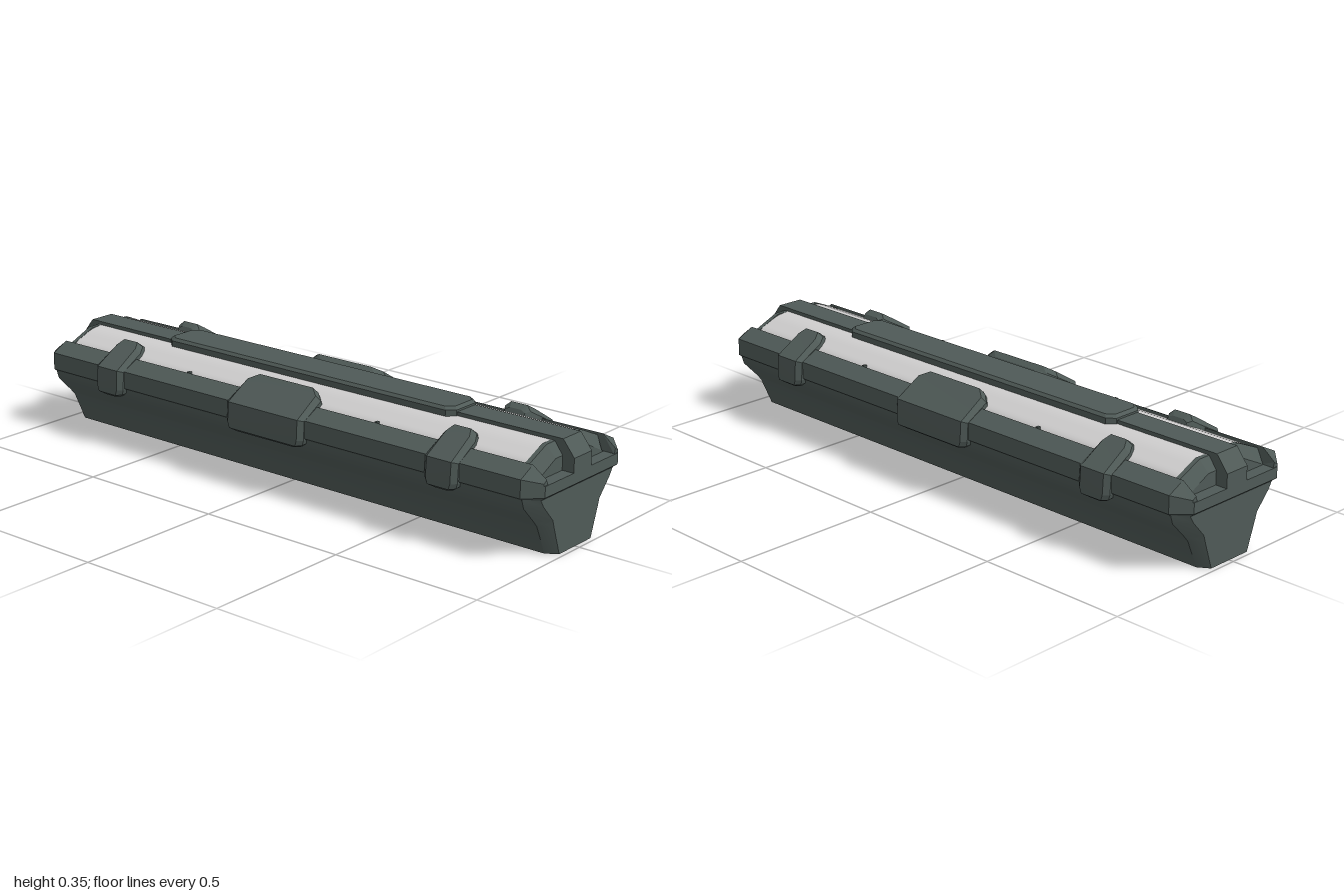
import * as THREE from 'three';
import { toCreasedNormals } from 'three/addons/utils/BufferGeometryUtils.js';

const housingGrey = new THREE.MeshStandardMaterial({ color: 0x4f5a57, side: THREE.DoubleSide });
housingGrey.name = 'housing grey';
const diffuserWhite = new THREE.MeshStandardMaterial({ color: 0xd0cfcf, side: THREE.DoubleSide });
diffuserWhite.name = 'diffuser white';

// Skins a list of closed cross-sections; 'caps' fills both ends, 'loop' joins last to first
function loft(rings, { caps = true, loop = false, crease = 0.2 } = {}) {
  const n = rings[0].length, m = rings.length, index = [];
  for (let i = 0; i < (loop ? m : m - 1); i++) {
    for (let j = 0; j < n; j++) {
      const a = i * n + j, b = i * n + (j + 1) % n;
      const k = ((i + 1) % m) * n, c = k + j, d = k + (j + 1) % n;
      index.push(a, b, d, a, d, c);
    }
  }
  if (caps && !loop) {
    const e = (m - 1) * n;
    for (let j = 1; j < n - 1; j++) index.push(0, j + 1, j, e, e + j, e + j + 1);
  }
  const g = new THREE.BufferGeometry();
  g.setAttribute('position', new THREE.Float32BufferAttribute(rings.flat(2), 3));
  g.setIndex(index);
  return toCreasedNormals(g, crease);
}

// Horizontal rectangle with cut corners
function octagon(y, hx, hz, cx, cz) {
  return [
    [hx, y, hz - cz], [hx - cx, y, hz], [cx - hx, y, hz], [-hx, y, hz - cz],
    [-hx, y, cz - hz], [cx - hx, y, -hz], [hx - cx, y, -hz], [hx, y, cz - hz],
  ];
}

export function createModel() {
  const model = new THREE.Group();
  const add = (name, geometry, material = housingGrey) => {
    const mesh = new THREE.Mesh(geometry, material);
    mesh.name = name;
    model.add(mesh);
    return mesh;
  };

  // Hollow tray, open at the bottom
  add('tray', loft([
    octagon(0, 0.105, 0.985, 0.024, 0.035),
    octagon(0.095, 0.148, 0.985, 0.034, 0.035),
    octagon(0.115, 0.165, 0.985, 0.045, 0.035),
    octagon(0.17, 0.218, 0.985, 0.048, 0.035),
    octagon(0.2, 0.228, 0.985, 0.04, 0.035),
  ], { caps: false, crease: 0.5 }));

  // Rim band around the tray
  add('rim', loft([
    octagon(0.193, 0.222, 0.985, 0.04, 0.04),
    octagon(0.205, 0.237, 1, 0.05, 0.05),
    octagon(0.24, 0.237, 1, 0.05, 0.05),
    octagon(0.24, 0.175, 0.92, 0.01, 0.01),
    octagon(0.2, 0.21, 0.96, 0.03, 0.03),
  ], { loop: true }));

  // Curved translucent cover
  const arc = new THREE.CatmullRomCurve3([
    [-0.178, 0.26], [-0.166, 0.285], [-0.13, 0.303], [-0.085, 0.319], [0, 0.324],
    [0.085, 0.319], [0.13, 0.303], [0.166, 0.285], [0.178, 0.26],
  ].map(([x, y]) => new THREE.Vector3(x, y, 0))).getPoints(32);
  const cover = (z) => arc.map((p) => [p.x, p.y, z]);
  add('diffuser', loft([cover(-0.925), cover(0.925)], { caps: false, crease: 0.6 }), diffuserWhite);

  // Central spine that folds down over both ends
  const spine = new THREE.Shape([
    [1, 0.238], [1, 0.285], [0.96, 0.335], [-0.96, 0.335], [-1, 0.285], [-1, 0.238],
    [-0.95, 0.238], [-0.93, 0.312], [0.93, 0.312], [0.95, 0.238],
  ].map(([z, y]) => new THREE.Vector2(z, y)));
  const spineGeometry = new THREE.ExtrudeGeometry(spine, { depth: 0.09, bevelEnabled: false });
  spineGeometry.rotateY(-Math.PI / 2).translate(0.045, 0, 0);
  add('spine', spineGeometry);

  // Raised pad on the spine
  add('topPad', loft([
    octagon(0.322, 0.07, 0.585, 0.022, 0.025),
    octagon(0.341, 0.07, 0.585, 0.022, 0.025),
    octagon(0.35, 0.061, 0.575, 0.02, 0.023),
  ]));

  // Wedge closing each end of the cover
  for (const s of [1, -1]) {
    const mirror = (half, z) => [...half.map(([x, y]) => [-x, y, s * z]),
      ...half.slice().reverse().map(([x, y]) => [x, y, s * z])];
    const roof = [[0.178, 0.24], [0.178, 0.283], [0.087, 0.323]];
    add('endWedge', loft([
      mirror([[0.17, 0.24], [0.16, 0.246], [0.08, 0.285]], 0.96),
      mirror(roof, 0.932),
      mirror(roof, 0.917),
    ]));
  }

  // Clip bent over the rim: each station is outer x, y, inner x, y, inset of its width
  const clip = (half, taper, s, z) => {
    const stations = [
      [0.24, 0.17, 0.215, 0.172, 0.025], [0.258, 0.182, 0.222, 0.185, 0.006],
      [0.258, 0.2, 0.225, 0.2, 0], [0.254, 0.265, 0.222, 0.255, 0],
      [0.165, 0.32, 0.15, 0.287, 0.002], [0.142, 0.335, 0.125, 0.302, taper * 0.6],
      [0.122, 0.323, 0.115, 0.308, taper],
    ];
    const bevel = 0.016;
    return loft(stations.map(([ox, oy, ix, iy, inset]) => {
      const w = half - inset;
      const mx = ox + (ix - ox) * 0.45, my = oy + (iy - oy) * 0.45;
      return [[ix, iy, -w], [mx, my, -w], [ox, oy, bevel - w],
        [ox, oy, w - bevel], [mx, my, w], [ix, iy, w]].map(([x, y, dz]) => [s * x, y, z + dz]);
    }));
  };

  for (const s of [1, -1]) {
    const side = s > 0 ? 'left' : 'right';
    // Side rail with a sloping top and tapered ends
    const full = [[0.237, 0.238], [0.237, 0.262], [0.178, 0.291], [0.172, 0.238]];
    const tip = [[0.19, 0.238], [0.19, 0.247], [0.176, 0.256], [0.17, 0.238]];
    const section = (points, z) => points.map(([x, y]) => [s * x, y, z]);
    add(side + 'Rail', loft([
      section(tip, -0.997), section(full, -0.95), section(full, 0.95), section(tip, 0.997),
    ]));

    add(side + 'CentreClip', clip(0.157, 0.055, s, 0));
    for (const z of [-0.677, 0.677]) add(side + 'EndClip', clip(0.06, 0.024, s, z));

    // Small retaining nubs on the cover edge
    for (const z of [-0.385, 0.385]) {
      add(side + 'Nub', new THREE.BoxGeometry(0.012, 0.012, 0.01)).position.set(s * 0.172, 0.288, z);
    }
  }
  return model;
}
